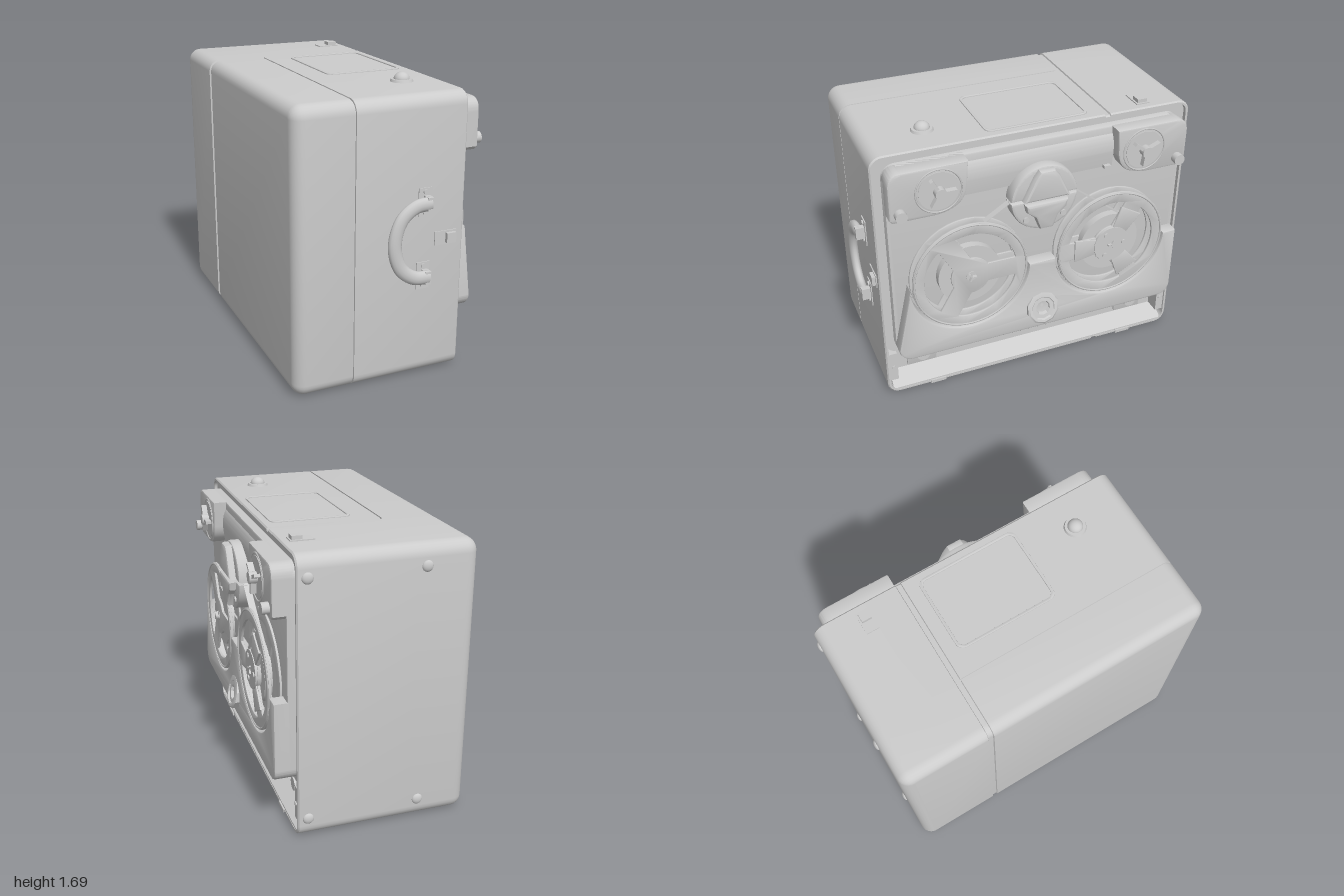
import * as THREE from 'three';
import { toCreasedNormals } from 'three/addons/utils/BufferGeometryUtils.js';

const mat = new THREE.MeshStandardMaterial({ color: 0xcccccc });
const thinMat = new THREE.MeshStandardMaterial({ color: 0xcccccc, side: THREE.DoubleSide });

function add(parent, name, geo, x = 0, y = 0, z = 0, m = mat) {
  const mesh = new THREE.Mesh(geo, m);
  mesh.name = name;
  mesh.position.set(x, y, z);
  parent.add(mesh);
  return mesh;
}
const box = (w, h, d) => new THREE.BoxGeometry(w, h, d);
// disc or knob whose axis is local z, running from d0 to d1
const cyl = (r, d0, d1, n = 32, r2 = r) =>
  new THREE.CylinderGeometry(r2, r, d1 - d0, n).rotateX(Math.PI / 2).translate(0, 0, (d0 + d1) / 2);
const dome = (r, h) => new THREE.SphereGeometry(r, 24, 8, 0, Math.PI * 2, 0, Math.PI / 2).scale(1, h / r, 1);

function roundRect(x0, y0, x1, y1, r, T = THREE.Shape) {
  const s = new T();
  s.absarc(x1 - r, y1 - r, r, 0, Math.PI / 2);
  s.absarc(x0 + r, y1 - r, r, Math.PI / 2, Math.PI);
  s.absarc(x0 + r, y0 + r, r, Math.PI, Math.PI * 1.5);
  s.absarc(x1 - r, y0 + r, r, Math.PI * 1.5, Math.PI * 2);
  s.closePath();
  return s;
}
function poly(pts) { return new THREE.Shape(pts.map(p => new THREE.Vector2(p[0], p[1]))); }
// extrude between two depths, bevel kept inside the outline
function ex(shape, d0, d1, b = 0) {
  const g = new THREE.ExtrudeGeometry(shape, {
    depth: d1 - d0 - b, bevelEnabled: b > 0, bevelSize: b, bevelOffset: -b, bevelThickness: b, bevelSegments: 2, curveSegments: 20,
  });
  return toCreasedNormals(g.translate(0, 0, d0), 0.6);
}

// open-fronted case shell, lofted along x from rounded outlines with grooves
function caseGeometry() {
  const [z0, z1, y0, y1, r, R, D] = [-0.985, 0.935, 0, 1.635, 0.075, 0.07, 0.009];
  function ring(x, inset, nx = 0, ny = 0, groove = 0) {
    const top = [];
    const arc = (cz, a0) => {
      for (let k = 0; k <= 6; k++) {
        const a = a0 + k * Math.PI / 12;
        const q = r - inset - (cz > 0 ? groove : 0);
        top.push([x, y1 - r + q * Math.sin(a), cz + q * Math.cos(a)]);
      }
    };
    arc(z1 - r, 0);
    [[-0.435, 0], [-0.438, 1], [-0.467, 1], [-0.47, 0]].forEach(([z, n], k) =>
      top.push([x + n * nx, y1 - inset - Math.max(n * ny, k < 1 ? groove : 0), z]));
    arc(z0 + r, Math.PI / 2);
    return top.concat(top.map(p => [p[0], y0 + y1 - p[1], p[2]]).reverse());
  }
  const rings = [];
  for (let k = 0; k <= 6; k++) {
    const a = k * Math.PI / 12;
    rings.push(ring(-0.59 + R * (1 - Math.cos(a)), R * (1 - Math.sin(a)), D * Math.cos(a), D * Math.sin(a)));
  }
  for (const [x, g] of [[-0.25, 0], [-0.249, D], [-0.241, D], [-0.24, 0]]) rings.push(ring(x, 0, 0, D, g));
  rings.push(ring(0.412, 0, 0, D), ring(0.42, 0.008, 0, D), ring(0.42, 0.02), ring(0.3, 0.02));
  const n = rings[0].length, idx = [], last = (rings.length - 1) * n;
  for (let k = 0; k < rings.length - 1; k++) for (let i = 0; i < n; i++) {
    const a = k * n + i, b = k * n + (i + 1) % n;
    idx.push(a, a + n, b + n, a, b + n, b);
  }
  for (let i = 0; i < n / 2 - 1; i++) {
    const [a, b, c, d] = [i, i + 1, n - 2 - i, n - 1 - i];
    idx.push(a, b, c, a, c, d, last + a, last + c, last + b, last + a, last + d, last + c);
  }
  const g = new THREE.BufferGeometry();
  g.setAttribute('position', new THREE.Float32BufferAttribute(rings.flat(2), 3));
  g.setIndex(idx);
  return toCreasedNormals(g, 0.6);
}

// reel with two windowed flanges, tape pack and hub
function makeReel(turn, raisedSpokes) {
  const reel = new THREE.Group();
  reel.name = 'reel';
  const flange = new THREE.Shape().absarc(0, 0, 0.35, 0, Math.PI * 2);
  const w = 0.06;
  for (let k = 0; k < 3; k++) {
    const a = turn + k * Math.PI * 2 / 3, e = a + Math.PI * 2 / 3;
    const hole = new THREE.Path();
    const o = Math.asin(w / 0.28), i = Math.asin(w / 0.12);
    hole.absarc(0, 0, 0.28, a + o, e - o, false);
    hole.absarc(0, 0, 0.12, e - i, a + i, true);
    hole.closePath();
    flange.holes.push(hole);
    if (raisedSpokes) {
      const spoke = poly([[0.1, -0.05], [0.24, -0.075], [0.24, 0.075], [0.1, 0.05]]);
      add(reel, 'spoke', ex(spoke, 0.525, 0.535, 0.004)).rotation.z = a;
    }
    add(reel, 'hubProng', box(0.03, 0.01, 0.02), 0.012 * Math.cos(a), 0.012 * Math.sin(a), 0.54).rotation.z = a;
  }
  add(reel, 'frontFlange', ex(flange, 0.513, 0.526, 0.003));
  add(reel, 'backFlange', ex(flange, 0.452, 0.464, 0.003));
  add(reel, 'tapePack', cyl(0.19, 0.46, 0.505, 48));
  add(reel, 'rimBead', new THREE.TorusGeometry(0.34, 0.006, 6, 64), 0, 0, 0.526);
  add(reel, 'hub', cyl(raisedSpokes ? 0.115 : 0.03, 0.5, raisedSpokes ? 0.54 : 0.53, 36));
  if (raisedSpokes) for (let k = 0; k < 3; k++) {
    const a = turn + Math.PI / 3 + k * Math.PI * 2 / 3;
    add(reel, 'hubStud', cyl(0.016, 0.53, 0.547, 16), 0.08 * Math.cos(a), 0.08 * Math.sin(a), 0);
  }
  return reel;
}

export function createModel() {
  const model = new THREE.Group();
  model.name = 'reelTapeRecorder';
  add(model, 'case', caseGeometry());

  // deck works in its own frame: local x runs along the deck, local z points out of it
  const deck = new THREE.Group();
  deck.name = 'deck';
  deck.rotation.y = Math.PI / 2;
  deck.position.z = -0.022;
  model.add(deck);
  add(deck, 'deckSurround', ex(roundRect(-0.94, 0.31, 0.94, 1.615, 0.055), 0.29, 0.4));
  add(deck, 'deckPlate', ex(roundRect(-0.895, 0.325, 0.895, 1.575, 0.08), 0.3, 0.452, 0.008));

  // raised lower panel, scooped around both reels
  const lower = new THREE.Shape();
  lower.moveTo(-0.895, 0.81);
  for (const u of [-0.445, 0.445]) lower.absarc(u, 0.825, 0.362, Math.PI + 0.041, Math.PI * 2 - 0.041, false);
  lower.lineTo(0.895, 0.81);
  lower.absarc(0.815, 0.405, 0.08, 0, -Math.PI / 2, true);
  lower.absarc(-0.815, 0.405, 0.08, -Math.PI / 2, -Math.PI, true);
  add(deck, 'lowerPanel', ex(lower, 0.44, 0.53, 0.012));

  // reels
  [[-0.445, 0, false], [0.445, Math.PI / 3, true]].forEach(([u, t, s]) => {
    const reel = makeReel(t, s);
    reel.position.set(u, 0.825, 0);
    deck.add(reel);
  });

  // corner pods with spindle dials and small knobs
  for (const s of [-1, 1]) {
    const pod = new THREE.Shape();
    pod.moveTo(s * 0.895, 1.3);
    pod.lineTo(s * 0.875, 1.28);
    pod.lineTo(s * 0.64, 1.28);
    pod.quadraticCurveTo(s * 0.47, 1.29, s * 0.455, 1.42);
    pod.lineTo(s * 0.445, 1.575);
    pod.lineTo(s * 0.815, 1.575);
    pod.quadraticCurveTo(s * 0.895, 1.575, s * 0.895, 1.495);
    add(deck, 'cornerPod', ex(pod, 0.42, 0.53, 0.012));
    const dial = new THREE.Group();
    dial.name = 'spindleDial';
    dial.position.set(s * 0.617, 1.43, 0);
    deck.add(dial);
    add(dial, 'dialRing', new THREE.TorusGeometry(0.13, 0.005, 6, 48), 0, 0, 0.53);
    add(dial, 'dialDisc', cyl(0.115, 0.52, 0.534, 40));
    add(dial, 'spindle', cyl(0.033, 0.53, 0.578, 12));
    for (let k = 0; k < 3; k++) {
      const a = k * Math.PI * 2 / 3 + (s < 0 ? 0 : 0.4);
      add(dial, 'spindleWing', box(0.07, 0.018, 0.035), 0.058 * Math.cos(a), 0.058 * Math.sin(a), 0.55).rotation.z = a;
    }
    add(deck, 'cornerKnob', cyl(0.033, 0.52, 0.572, 14), s * 0.837, 1.335, 0);
    // control squares, side brackets and hinges beside the lower slot
    add(deck, 'controlFrame', ex(roundRect(-0.094, -0.088, 0.094, 0.088, 0.01), 0.315, 0.332, 0.004), s * 0.712, 0.198, 0);
    add(deck, 'controlKnob', cyl(0.045, 0.33, 0.375, 32, 0.04), s * 0.712, 0.198, 0);
    add(deck, 'slotBracket', box(0.05, 0.2, 0.11), s * 0.913, 0.2, 0.36);
    add(deck, 'bracketScrew', cyl(0.013, 0.41, 0.422, 12), s * 0.913, 0.198, 0);
    add(deck, 'hinge', box(0.1, 0.02, 0.03), s * 0.64, 0.012, 0.412);
  }
  // rounded cover between the pods
  const cover = new THREE.Shape();
  cover.moveTo(0.42, 1.33);
  cover.lineTo(0.465, 1.33);
  cover.lineTo(0.475, 1.42);
  cover.quadraticCurveTo(0.475, 1.53, 0.42, 1.56);
  add(model, 'topCover', ex(cover, -0.472, 0.428));
  add(deck, 'lever', box(0.04, 0.018, 0.04), 0.41, 1.335, 0.47);

  // slot panel with vents and a sloping sill
  add(deck, 'slotPanel', box(1.79, 0.205, 0.02), 0, 0.203, 0.31);
  for (let k = 0; k < 6; k++) add(deck, 'ventStud', cyl(0.018, 0.31, 0.328, 16), -0.148 + k * 0.058, 0.145, 0);
  add(model, 'sill', ex(poly([[0.3, 0.015], [0.417, 0.015], [0.417, 0.03], [0.3, 0.1]]), -0.95, 0.9));

  // head cover: two half discs with tapered ridges
  for (const s of [-1, 1]) {
    const half = new THREE.Shape();
    const a0 = s > 0 ? 0.03 : Math.PI + 0.03;
    half.absarc(0, 0, 0.203, a0, a0 + Math.PI - 0.06, false);
    add(deck, 'headCover', ex(half, 0.44, 0.535, 0.015), 0, 1.25, 0);
    const ridge = s > 0
      ? [[-0.14, 0.01], [0.14, 0.01], [0.075, 0.15], [0.045, 0.19], [-0.045, 0.19], [-0.075, 0.15]]
      : [[-0.13, -0.01], [0.13, -0.01], [0.12, -0.06], [0.07, -0.1], [0.04, -0.18], [-0.04, -0.18], [-0.07, -0.1], [-0.12, -0.06]];
    add(deck, 'headRidge', ex(poly(ridge), 0.53, 0.577, 0.018), 0, 1.25, 0);
    add(deck, 'headScrew', cyl(0.018, 0.53, 0.545, 16), s * 0.115, 1.13, 0);
  }
  // tape runs from the head to the reels
  for (const [ax, ay, bx, by] of [[-0.35, 1.15, -0.18, 1.255], [0.19, 1.25, 0.5, 1.01]]) {
    const t = add(deck, 'tape', box(Math.hypot(bx - ax, by - ay), 0.003, 0.04), (ax + bx) / 2, (ay + by) / 2, 0.487, thinMat);
    t.rotation.z = Math.atan2(by - ay, bx - ax);
  }

  // ten-sided selector knob with a slanted face
  const knob = new THREE.LatheGeometry([[0.103, 0], [0.103, 0.85], [0.09, 1], [0.075, 1], [0.07, 0.8], [0.046, 0.8], [0.04, 0.35], [0, 0.2]]
    .map(p => new THREE.Vector2(p[0], p[1])), 10).rotateX(Math.PI / 2);
  const kp = knob.attributes.position;
  for (let i = 0; i < kp.count; i++) kp.setZ(i, 0.522 + kp.getZ(i) * (0.035 - kp.getY(i) * 0.25));
  add(deck, 'selectorKnob', toCreasedNormals(knob, 0.4), 0, 0.48, 0);

  // carrying handle on the front face
  const path = new THREE.CatmullRomCurve3([[0.19, 1.045], [0.1, 1.035], [0.015, 0.97], [-0.025, 0.83], [0.015, 0.69], [0.1, 0.625], [0.19, 0.615]]
    .map(p => new THREE.Vector3(p[0], p[1], 0)));
  add(model, 'handle', new THREE.TubeGeometry(path, 48, 0.04, 14).scale(1, 1, 0.65), 0, 0, 0.973);
  for (const s of [-1, 1]) {
    add(model, 'handlePlate', box(0.08, 0.16, 0.008), 0.172, 0.83 + s * 0.215, 0.937);
    add(model, 'handleEnd', box(0.035, 0.075, 0.055), 0.18, 0.83 + s * 0.215, 0.965);
    for (const t of [-1, 1]) add(model, 'plateRivet', cyl(0.014, 0.935, 0.95, 14), 0.172, 0.83 + s * 0.215 + t * 0.058, 0);
  }

  // latches on front and top
  for (const top of [false, true]) {
    const latch = new THREE.Group();
    latch.name = 'latch';
    add(latch, 'latchPlate', box(0.135, 0.08, 0.008));
    add(latch, 'latchButton', box(0.058, 0.058, 0.03), 0.028, 0, 0.01);
    if (top) { latch.rotation.x = -Math.PI / 2; latch.position.set(0.308, 1.637, -0.7); }
    else latch.position.set(0.308, 0.82, 0.937);
    model.add(latch);
  }

  // top pad with raised rim, and dome button
  const rim = roundRect(-0.102, -0.263, 0.373, 0.358, 0.045);
  rim.holes.push(roundRect(-0.085, -0.246, 0.356, 0.341, 0.035, THREE.Path));
  add(model, 'topPadRim', ex(rim, 1.63, 1.642, 0.003).rotateX(-Math.PI / 2));
  add(model, 'domeBase', new THREE.CylinderGeometry(0.06, 0.066, 0.016, 32), 0.205, 1.641, 0.575);
  add(model, 'domeButton', dome(0.045, 0.04), 0.205, 1.647, 0.575);

  // feet on the rear face
  for (const x of [-0.29, 0.36]) for (const y of [0.12, 1.515])
    add(model, 'foot', dome(0.032, 0.016), x, y, -0.984).rotation.x = -Math.PI / 2;
  return model;
}
